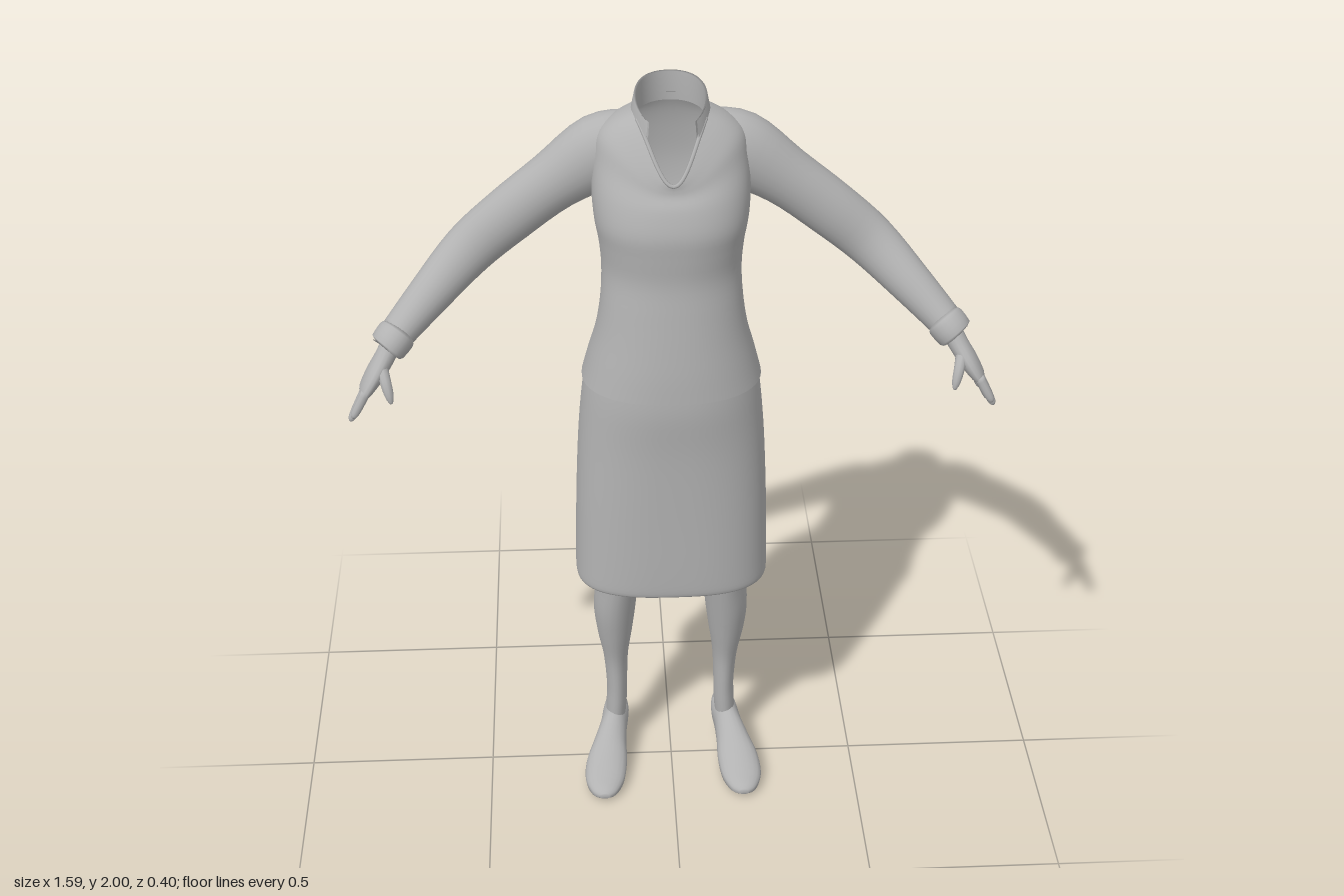
import * as THREE from 'three';

const grey = new THREE.MeshStandardMaterial({ color: 0xb2b2b2, side: THREE.DoubleSide });
grey.name = 'plain grey';

function mesh(name, geometry) {
  const m = new THREE.Mesh(geometry, grey);
  m.name = name;
  return m;
}

// Smoothly interpolates rows of numbers
function refine(rows, steps) {
  const out = [];
  const at = i => rows[Math.min(rows.length - 1, Math.max(0, i))];
  for (let i = 0; i < rows.length - 1; i++) {
    for (let k = 0; k < steps; k++) {
      const u = k / steps;
      out.push(rows[i].map((b, c) => {
        const a = at(i - 1)[c], d = at(i + 1)[c], e = at(i + 2)[c];
        return b + 0.5 * u * (d - a + u * (2 * a - 5 * b + 4 * d - e + u * (3 * (b - d) + e - a)));
      }));
    }
  }
  out.push(rows[rows.length - 1]);
  return out;
}

// Skins rings of points; point(row, u, index) gives [x, y, z] for u in 0..1
function loft(rows, n, point, { closed = true, caps = false } = {}) {
  const pos = [], idx = [], cols = closed ? n : n + 1;
  rows.forEach((row, i) => {
    for (let j = 0; j < cols; j++) pos.push(...point(row, j / n, i));
  });
  for (let i = 0; i < rows.length - 1; i++) {
    for (let j = 0; j < n; j++) {
      const a = i * cols + j, b = i * cols + (j + 1) % cols;
      idx.push(a, a + cols, b, b, a + cols, b + cols);
    }
  }
  if (caps) {
    for (const i of [0, rows.length - 1]) {
      const mid = [0, 0, 0], o = i * cols, k = pos.length / 3;
      for (let j = 0; j < n; j++) for (let c = 0; c < 3; c++) mid[c] += pos[(o + j) * 3 + c] / n;
      pos.push(...mid);
      for (let j = 0; j < n; j++) {
        const a = o + j, b = o + (j + 1) % n;
        idx.push(k, ...(i === 0 ? [a, b] : [b, a]));
      }
    }
  }
  const g = new THREE.BufferGeometry();
  g.setAttribute('position', new THREE.Float32BufferAttribute(pos, 3));
  g.setIndex(idx);
  g.computeVertexNormals();
  return g;
}

// Limb rows: x, y, z, radius in the front plane, radius along depth
function limb(rows, n = 16, steps = 4) {
  const fine = refine(rows, steps);
  const frames = fine.map((r, i) => {
    const p = fine[Math.max(0, i - 1)], q = fine[Math.min(fine.length - 1, i + 1)];
    const t = new THREE.Vector3(q[0] - p[0], q[1] - p[1], q[2] - p[2]).normalize();
    const u = new THREE.Vector3().crossVectors(t, new THREE.Vector3(0, 0, 1)).normalize();
    return [u, new THREE.Vector3().crossVectors(u, t)];
  });
  return loft(fine, n, (r, s, i) => {
    const [u, v] = frames[i], a = s * Math.PI * 2;
    return new THREE.Vector3(r[0], r[1], r[2])
      .addScaledVector(u, r[3] * Math.cos(a)).addScaledVector(v, r[4] * Math.sin(a)).toArray();
  }, { caps: true });
}

// Body rows: y, half width, front z, back z, roundness, neckline dip
function bodyPoint([y, rx, zf, zb, e, dip], s) {
  const a = s * Math.PI * 2, c = Math.cos(a), d = Math.sin(a);
  const pw = v => Math.sign(v) * Math.abs(v) ** e;
  const drop = dip * Math.max(0, d) ** 4;
  return [rx * pw(c), y - drop, (zf + zb) / 2 + (zf - zb) / 2 * pw(d) + drop * 0.4];
}

function createArm() {
  const arm = new THREE.Group();
  arm.add(mesh('sleeve', limb([
    [0.08, 1.845, -0.06, 0.08, 0.07], [0.165, 1.82, -0.062, 0.093, 0.075],
    [0.28, 1.745, -0.06, 0.074, 0.064], [0.39, 1.66, -0.055, 0.07, 0.057],
    [0.49, 1.575, -0.045, 0.065, 0.054], [0.59, 1.483, 0.015, 0.053, 0.05],
    [0.675, 1.402, 0.072, 0.042, 0.046]], 24)));
  arm.add(mesh('cuff', limb([
    [0.665, 1.411, 0.066, 0.043, 0.047], [0.67, 1.406, 0.07, 0.048, 0.053],
    [0.692, 1.382, 0.084, 0.046, 0.052], [0.694, 1.38, 0.085, 0.038, 0.044]], 24, 2)));
  arm.add(mesh('palm', limb([
    [0.68, 1.395, 0.078, 0.026, 0.03], [0.70, 1.36, 0.095, 0.025, 0.034],
    [0.727, 1.32, 0.112, 0.023, 0.046], [0.75, 1.285, 0.122, 0.017, 0.047],
    [0.756, 1.275, 0.124, 0.008, 0.04]])));
  const fingers = [
    [0.75, 1.29, 0.157, 0.782, 1.232, 0.168], [0.754, 1.283, 0.134, 0.791, 1.21, 0.145],
    [0.752, 1.28, 0.111, 0.785, 1.207, 0.113], [0.745, 1.287, 0.09, 0.768, 1.224, 0.08]];
  for (const [x, y, z, tx, ty, tz] of fingers) {
    const mix = (k, r) => [x + (tx - x) * k, y + (ty - y) * k, z + (tz - z) * k, r, r];
    arm.add(mesh('finger', limb([mix(-0.1, 0.012), mix(0.5, 0.0115), mix(0.88, 0.009), mix(1, 0.003)], 10, 3)));
  }
  arm.add(mesh('thumb', limb([
    [0.708, 1.35, 0.115, 0.015, 0.018], [0.698, 1.32, 0.148, 0.014, 0.014],
    [0.69, 1.288, 0.162, 0.011, 0.011], [0.686, 1.27, 0.168, 0.004, 0.004]], 10, 3)));
  return arm;
}

function createLeg() {
  const leg = new THREE.Group();
  leg.add(mesh('leg', limb([
    [0.155, 0.07, -0.055, 0.026, 0.04], [0.15, 0.15, -0.052, 0.028, 0.042],
    [0.148, 0.22, -0.052, 0.028, 0.045], [0.15, 0.32, -0.055, 0.034, 0.055],
    [0.152, 0.42, -0.048, 0.049, 0.07], [0.15, 0.51, -0.038, 0.057, 0.08],
    [0.138, 0.62, -0.022, 0.055, 0.085], [0.13, 0.72, -0.012, 0.062, 0.09],
    [0.12, 0.95, -0.005, 0.085, 0.11]], 20)));
  // Shoe rows: z, centre x, half width, sole y, top y
  const shoe = refine([
    [0.202, 0.19, 0.012, 0.012, 0.026], [0.185, 0.19, 0.034, 0.004, 0.038],
    [0.14, 0.188, 0.053, 0, 0.053], [0.08, 0.182, 0.056, 0.002, 0.077],
    [0.03, 0.172, 0.046, 0.01, 0.108], [-0.02, 0.16, 0.037, 0.034, 0.135],
    [-0.07, 0.152, 0.036, 0.058, 0.133], [-0.105, 0.149, 0.028, 0.066, 0.138],
    [-0.122, 0.148, 0.012, 0.085, 0.12]], 4);
  leg.add(mesh('shoe', loft(shoe, 20, ([z, x, w, y0, y1], s) => {
    const c = Math.cos(s * Math.PI * 2), d = Math.sin(s * Math.PI * 2);
    const up = d < 0 ? -(Math.abs(d) ** 0.5) : d;
    return [x + w * c, (y0 + y1) / 2 + (y1 - y0) / 2 * up, z];
  }, { caps: true })));
  leg.add(mesh('heel', limb([
    [0.15, 0, -0.086, 0.013, 0.014], [0.15, 0.03, -0.088, 0.013, 0.015],
    [0.15, 0.06, -0.088, 0.02, 0.025], [0.15, 0.095, -0.084, 0.03, 0.034]], 12, 3)));
  return leg;
}

export function createModel() {
  const model = new THREE.Group();
  model.name = 'headless suited figure';

  // Fitted top with an open V neck
  const top = refine([
    [1.252, 0.224, 0.181, -0.166, 0.88, 0], [1.32, 0.207, 0.177, -0.148, 0.9, 0],
    [1.40, 0.186, 0.169, -0.115, 0.92, 0], [1.48, 0.174, 0.16, -0.106, 0.92, 0],
    [1.56, 0.17, 0.152, -0.122, 0.92, 0], [1.63, 0.176, 0.156, -0.14, 0.88, 0],
    [1.69, 0.186, 0.158, -0.153, 0.86, 0], [1.76, 0.19, 0.138, -0.158, 0.88, 0.01],
    [1.83, 0.185, 0.105, -0.152, 0.92, 0.05], [1.885, 0.175, 0.085, -0.142, 0.95, 0.09],
    [1.92, 0.14, 0.075, -0.13, 1, 0.115], [1.945, 0.092, 0.068, -0.116, 1, 0.135]], 4);
  model.add(mesh('top', loft(top, 56, bodyPoint)));

  // Pencil skirt, open below
  const skirt = refine([
    [0.657, 0.246, 0.15, -0.184, 0.72, 0], [0.66, 0.251, 0.16, -0.194, 0.7, 0],
    [0.72, 0.25, 0.163, -0.19, 0.72, 0], [0.90, 0.245, 0.164, -0.181, 0.76, 0],
    [1.08, 0.236, 0.167, -0.176, 0.82, 0], [1.20, 0.225, 0.175, -0.17, 0.87, 0],
    [1.262, 0.216, 0.174, -0.158, 0.88, 0]], 4);
  model.add(mesh('skirt', loft(skirt, 56, bodyPoint)));

  // Folded collar rows: half width, half depth, back y, front y
  const collar = [[0.086, 0.092, 1.925, 1.90], [0.081, 0.09, 1.998, 1.945],
    [0.086, 0.094, 2.0, 1.948], [0.098, 0.104, 1.95, 1.872]];
  model.add(mesh('collar', loft(collar, 40, ([rx, rz, yb, yf], s) => {
    const a = Math.PI / 2 + 0.72 + s * (Math.PI * 2 - 1.44);
    const f = Math.min(1, (1 + Math.sin(a)) / 1.75) ** 1.6;
    return [rx * Math.cos(a), yb + (yf - yb) * f, -0.025 + rz * Math.sin(a) + 0.015 * f];
  }, { closed: false })));

  // Rolled edge along the neckline
  const rim = [];
  for (let k = 0; k <= 20; k++) {
    rim.push(new THREE.Vector3(...bodyPoint(top[top.length - 1], 0.08 + 0.34 * k / 20)));
  }
  model.add(mesh('neckline', new THREE.TubeGeometry(new THREE.CatmullRomCurve3(rim), 40, 0.005, 6)));

  for (const [side, s] of [['left', 1], ['right', -1]]) {
    const arm = createArm(), leg = createLeg();
    arm.name = side + 'Arm';
    leg.name = side + 'Leg';
    arm.scale.x = leg.scale.x = s;
    model.add(arm, leg);
  }
  return model;
}
